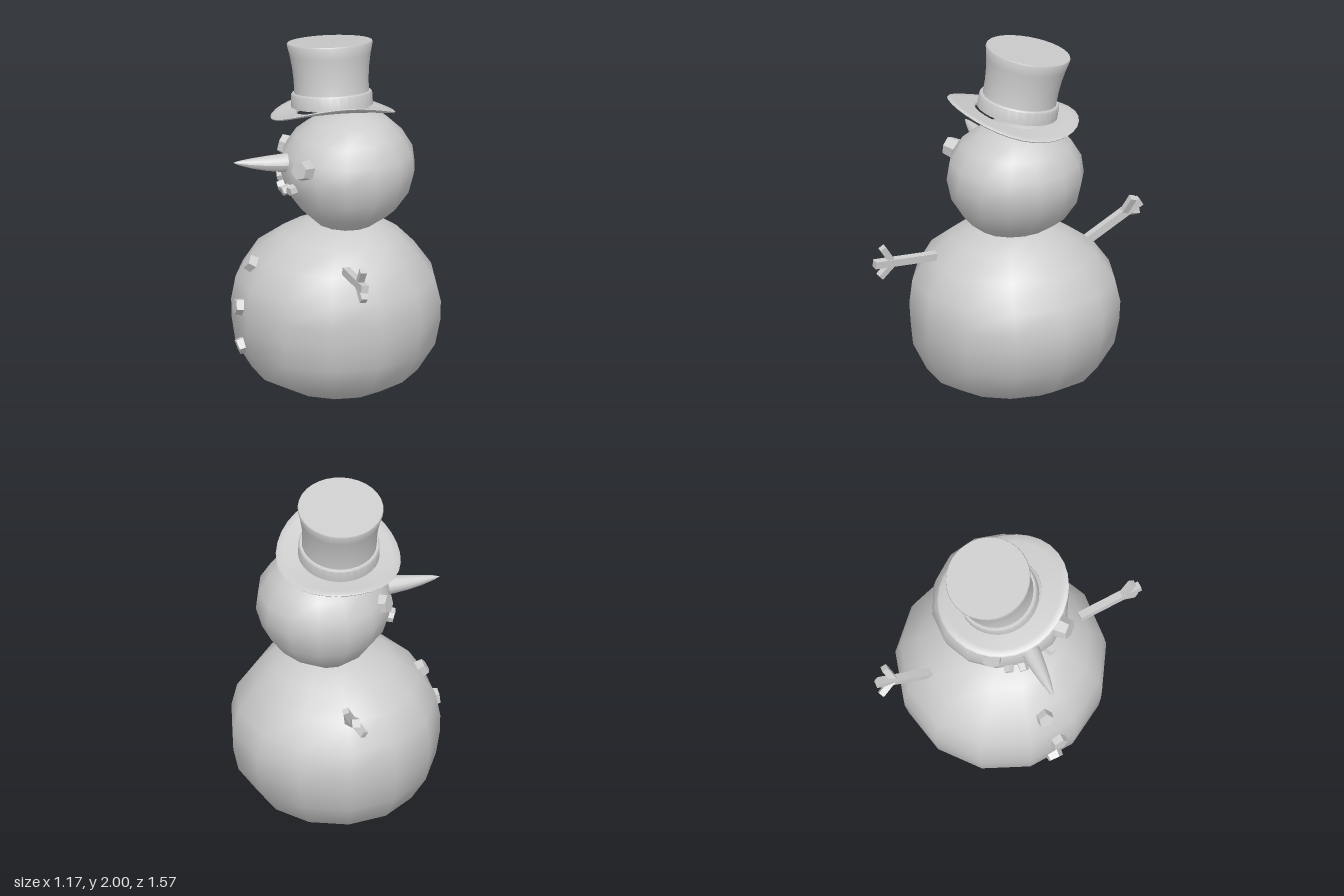
import * as THREE from 'three';
import { toCreasedNormals } from 'three/addons/utils/BufferGeometryUtils.js';

const grey = new THREE.MeshStandardMaterial({ color: 0xcccccc, side: THREE.DoubleSide });
grey.name = 'plain grey';

function add(parent, name, geometry) {
  const mesh = new THREE.Mesh(geometry, grey);
  mesh.name = name;
  parent.add(mesh);
  return mesh;
}

// Closed smooth ball from horizontal rings: [y, centre x, centre z, radius x, radius z]
function loft(rings, sides, start) {
  const pos = [], index = [];
  for (const [y, cx, cz, rx, rz] of rings) {
    for (let k = 0; k < sides; k++) {
      const t = start + (k / sides) * Math.PI * 2;
      pos.push(cx + rx * Math.cos(t), y, cz + rz * Math.sin(t));
    }
  }
  for (let i = 0; i < rings.length - 1; i++) {
    for (let k = 0; k < sides; k++) {
      const n = (k + 1) % sides;
      const a = i * sides + k, b = i * sides + n;
      const c = a + sides, d = b + sides;
      index.push(a, c, b, b, c, d);
    }
  }
  const g = new THREE.BufferGeometry();
  g.setAttribute('position', new THREE.Float32BufferAttribute(pos, 3));
  g.setIndex(index);
  g.computeVertexNormals();
  return g;
}

const lathe = (points, sides) =>
  new THREE.LatheGeometry(points.map(([r, y]) => new THREE.Vector2(r, y)), sides);

const up = new THREE.Vector3(0, 1, 0);

// Square stick between two points
function stick(parent, name, a, b, width) {
  const from = new THREE.Vector3(...a), to = new THREE.Vector3(...b);
  const dir = to.clone().sub(from);
  const mesh = add(parent, name, new THREE.BoxGeometry(width, dir.length(), width));
  mesh.position.copy(from).add(to).multiplyScalar(0.5);
  mesh.quaternion.setFromUnitVectors(up, dir.normalize());
}

// Faceted lump of coal facing away from a centre point
function coal(parent, name, at, centre, radius, depth, sides) {
  const g = new THREE.CylinderGeometry(radius * 0.85, radius, depth, sides).toNonIndexed();
  g.computeVertexNormals();
  const mesh = add(parent, name, g);
  mesh.position.set(...at);
  const out = mesh.position.clone().sub(new THREE.Vector3(...centre)).normalize();
  mesh.quaternion.setFromUnitVectors(up, out);
}

export function createModel() {
  const model = new THREE.Group();
  model.name = 'snowman';

  // Snow body and head
  add(model, 'body', loft([
    [0.0, 0, -0.02, 0, 0],
    [0.03, 0, -0.02, 0.3, 0.34],
    [0.11, 0, -0.02, 0.455, 0.475],
    [0.26, 0.005, -0.025, 0.55, 0.555],
    [0.40, 0.01, -0.03, 0.575, 0.575],
    [0.51, 0.01, -0.03, 0.578, 0.582],
    [0.64, 0.005, -0.025, 0.55, 0.56],
    [0.78, 0, -0.015, 0.455, 0.47],
    [0.89, 0.02, 0, 0.33, 0.33],
    [0.955, 0.04, 0, 0.18, 0.19],
    [0.965, 0.04, 0, 0, 0],
  ], 13, -Math.PI / 2));
  add(model, 'head', loft([
    [0.93, 0.05, -0.01, 0, 0],
    [0.945, 0.05, -0.01, 0.15, 0.18],
    [1.03, 0.07, -0.01, 0.26, 0.285],
    [1.14, 0.07, -0.01, 0.34, 0.355],
    [1.26, 0.068, -0.01, 0.375, 0.38],
    [1.36, 0.07, -0.01, 0.36, 0.365],
    [1.46, 0.075, -0.01, 0.295, 0.305],
    [1.535, 0.085, -0.01, 0.205, 0.2],
    [1.575, 0.1, -0.01, 0.09, 0.09],
    [1.58, 0.1, -0.01, 0, 0],
  ], 14, 0));

  // Curved carrot nose
  const noseShape = lathe([[0.056, 0], [0.05, 0.08], [0.041, 0.16], [0.028, 0.24], [0.012, 0.31], [0, 0.34]], 12);
  const p = noseShape.attributes.position;
  for (let i = 0; i < p.count; i++) {
    const x = p.getX(i), along = p.getY(i), z = p.getZ(i);
    p.setXYZ(i, -0.24 - along, 1.318 + x + 0.2 * along * along, 0.02 + z + 0.03 * along);
  }
  noseShape.computeVertexNormals();
  add(model, 'nose', noseShape);

  // Coal eyes, mouth and buttons
  const headCentre = [0.065, 1.27, -0.01], bodyCentre = [0, 0.47, 0.02];
  for (const z of [-0.19, 0.24]) coal(model, 'eye', [-0.235, 1.345, z], headCentre, 0.062, 0.07, 6);
  for (const [x, y, z] of [[-0.28, 1.2, -0.11], [-0.295, 1.175, -0.03], [-0.29, 1.175, 0.06], [-0.27, 1.2, 0.14]])
    coal(model, 'mouthCoal', [x, y, z], headCentre, 0.032, 0.05, 5);
  for (const [x, y, z] of [[-0.475, 0.75, 0.02], [-0.55, 0.52, 0.07], [-0.53, 0.29, 0.05]])
    coal(model, 'button', [x, y, z], bodyCentre, 0.052, 0.06, 5);

  // Twig arms
  const frontArm = new THREE.Group();
  frontArm.name = 'leftArm';
  stick(frontArm, 'branch', [-0.03, 0.81, 0.42], [0.0, 0.828, 0.79], 0.042);
  stick(frontArm, 'twig', [-0.01, 0.82, 0.68], [0.0, 0.92, 0.745], 0.036);
  stick(frontArm, 'twig', [-0.01, 0.82, 0.68], [0.0, 0.75, 0.76], 0.036);
  const backArm = new THREE.Group();
  backArm.name = 'rightArm';
  stick(backArm, 'branch', [0, 0.77, -0.44], [0, 0.965, -0.77], 0.045);
  stick(backArm, 'twig', [0, 0.905, -0.67], [0.05, 1.01, -0.71], 0.036);
  stick(backArm, 'twig', [0, 0.915, -0.68], [-0.045, 0.885, -0.77], 0.036);
  model.add(frontArm, backArm);

  // Tilted top hat with flared crown and band
  const hat = new THREE.Group();
  hat.name = 'hat';
  const crown = add(hat, 'crown', toCreasedNormals(lathe([
    [0.21, 0], [0.205, 0.08], [0.205, 0.15], [0.211, 0.22], [0.222, 0.29], [0.236, 0.352], [0.233, 0.36], [0, 0.36],
  ], 32), 0.7));
  const band = add(hat, 'hatBand', toCreasedNormals(lathe([
    [0.21, 0.005], [0.224, 0.008], [0.222, 0.078], [0.216, 0.085], [0.205, 0.085],
  ], 32), 0.7));
  for (const part of [crown, band]) {
    part.position.set(-0.01, 1.6, -0.05);
    part.rotation.x = -0.19;
  }

  // Saddle-curved brim
  const brimShape = lathe([
    [0.2, 0], [0.25, 0], [0.3, 0], [0.335, 0], [0.342, 0.007],
    [0.335, 0.014], [0.3, 0.014], [0.25, 0.014], [0.2, 0.014], [0.2, 0],
  ], 32);
  const b = brimShape.attributes.position;
  for (let i = 0; i < b.count; i++) {
    const x = b.getX(i), z = b.getZ(i) * 1.065 - 0.028;
    b.setXYZ(i, x - 0.01, 1.582 + b.getY(i) + 0.24 * z + 0.38 * z * z - 0.2 * x * x, z);
  }
  add(hat, 'brim', toCreasedNormals(brimShape, 0.9));
  model.add(hat);

  return model;
}
